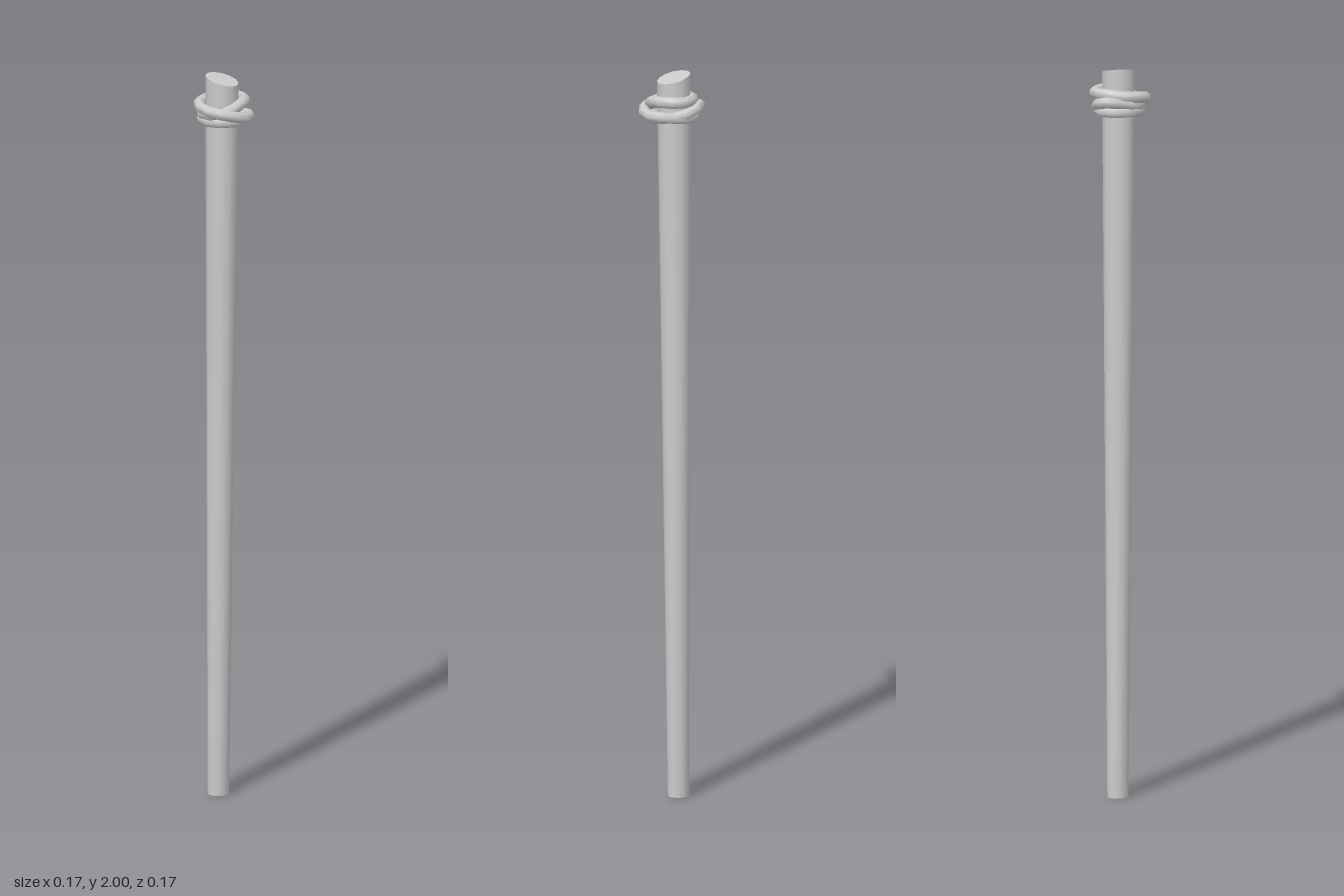
import * as THREE from 'three';

// Tapered pole: thicker at the top, leaning slightly, with a slanted cut
function makePole(material) {
  const height = 2, topRadius = 0.045;
  const geometry = new THREE.CylinderGeometry(topRadius, 0.029, height, 12, 1);
  geometry.translate(0, height / 2, 0);
  const p = geometry.attributes.position;
  for (let i = 0; i < p.count; i++) {
    const x = p.getX(i), y = p.getY(i), t = y / height;
    const cut = t > 0.5 ? 0.0125 * (1 + x / topRadius) : 0;
    p.setXYZ(i, x - 0.025 + 0.013 * t, y - cut, p.getZ(i) - 0.01 + 0.004 * t);
  }
  geometry.computeVertexNormals();
  const pole = new THREE.Mesh(geometry, material);
  pole.name = 'pole';
  return pole;
}

// Loose rope wound three times around the pole, closing on itself
function makeRope(material) {
  const path = [
    // upper turn
    [-0.007, 1.93, -0.071], [0.035, 1.93, -0.047], [0.049, 1.928, 0],
    [0.032, 1.912, 0.04], [-0.01, 1.9, 0.055], [-0.052, 1.9, 0.036],
    [-0.069, 1.908, -0.01], [-0.071, 1.913, -0.045], [-0.05, 1.908, -0.063],
    // lower turn
    [-0.005, 1.892, -0.064], [0.036, 1.885, -0.04], [0.048, 1.882, 0],
    [0.03, 1.882, 0.036], [-0.01, 1.881, 0.052], [-0.05, 1.882, 0.034],
    [-0.067, 1.884, -0.006], [-0.05, 1.882, -0.048],
    // outer turn
    [-0.005, 1.885, -0.062], [0.046, 1.89, -0.045], [0.068, 1.892, 0.003],
    [0.044, 1.903, 0.05], [-0.02, 1.915, 0.068], [-0.055, 1.922, 0.046],
    [-0.067, 1.926, 0], [-0.048, 1.93, -0.045],
  ].map((v) => new THREE.Vector3(...v));
  const curve = new THREE.CatmullRomCurve3(path, true);
  const rope = new THREE.Mesh(new THREE.TubeGeometry(curve, 36, 0.0155, 7, true), material);
  rope.name = 'ropeWrap';
  return rope;
}

export function createModel() {
  const material = new THREE.MeshStandardMaterial({ color: 0xcccccc });
  const group = new THREE.Group();
  group.name = 'ropeWrappedPole';
  group.add(makePole(material), makeRope(material));
  return group;
}
